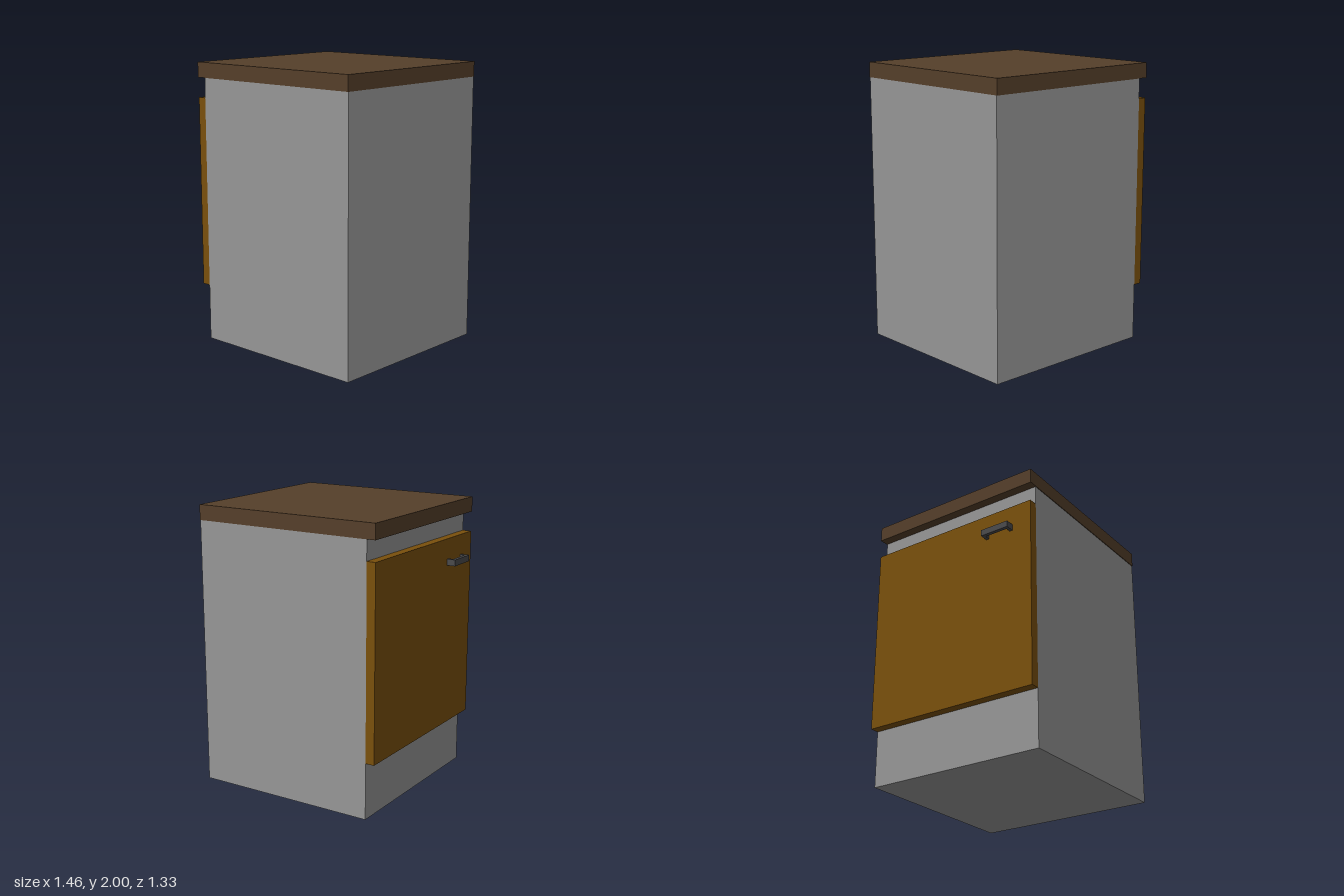
import * as THREE from 'three';

// Box given by its min and max along each axis
function block(name, material, [x0, x1], [y0, y1], [z0, z1]) {
  const mesh = new THREE.Mesh(new THREE.BoxGeometry(x1 - x0, y1 - y0, z1 - z0), material);
  mesh.position.set((x0 + x1) / 2, (y0 + y1) / 2, (z0 + z1) / 2);
  mesh.name = name;
  return mesh;
}

export function createModel() {
  const grey = new THREE.MeshStandardMaterial({ color: 0x969696 });
  const darkWood = new THREE.MeshStandardMaterial({ color: 0x553f2a });
  const lightWood = new THREE.MeshStandardMaterial({ color: 0x7a500c });
  const metal = new THREE.MeshStandardMaterial({ color: 0x4a4a4c });

  const model = new THREE.Group();
  model.name = 'cabinet';

  // Carcass, overhanging worktop and door on the -x side
  model.add(
    block('carcass', grey, [-0.602, 0.73], [0, 1.893], [-0.662, 0.662]),
    block('worktop', darkWood, [-0.667, 0.73], [1.893, 2], [-0.667, 0.667]),
    block('door', lightWood, [-0.667, -0.602], [0.4, 1.753], [-0.662, 0.662]),
  );

  // Bracket-shaped handle, drawn in plan and extruded upwards
  const plan = new THREE.Shape([
    [0, 0], [0.063, 0], [0.063, 0.022], [0.025, 0.022],
    [0.025, 0.194], [0.063, 0.194], [0.063, 0.216], [0, 0.216],
  ].map(([x, y]) => new THREE.Vector2(x, y)));
  const handle = new THREE.Mesh(
    new THREE.ExtrudeGeometry(plan, { depth: 0.045, bevelEnabled: false }), metal);
  handle.rotation.x = -Math.PI / 2;
  handle.position.set(-0.73, 1.565, 0.515);
  handle.name = 'doorHandle';
  model.add(handle);

  return model;
}
